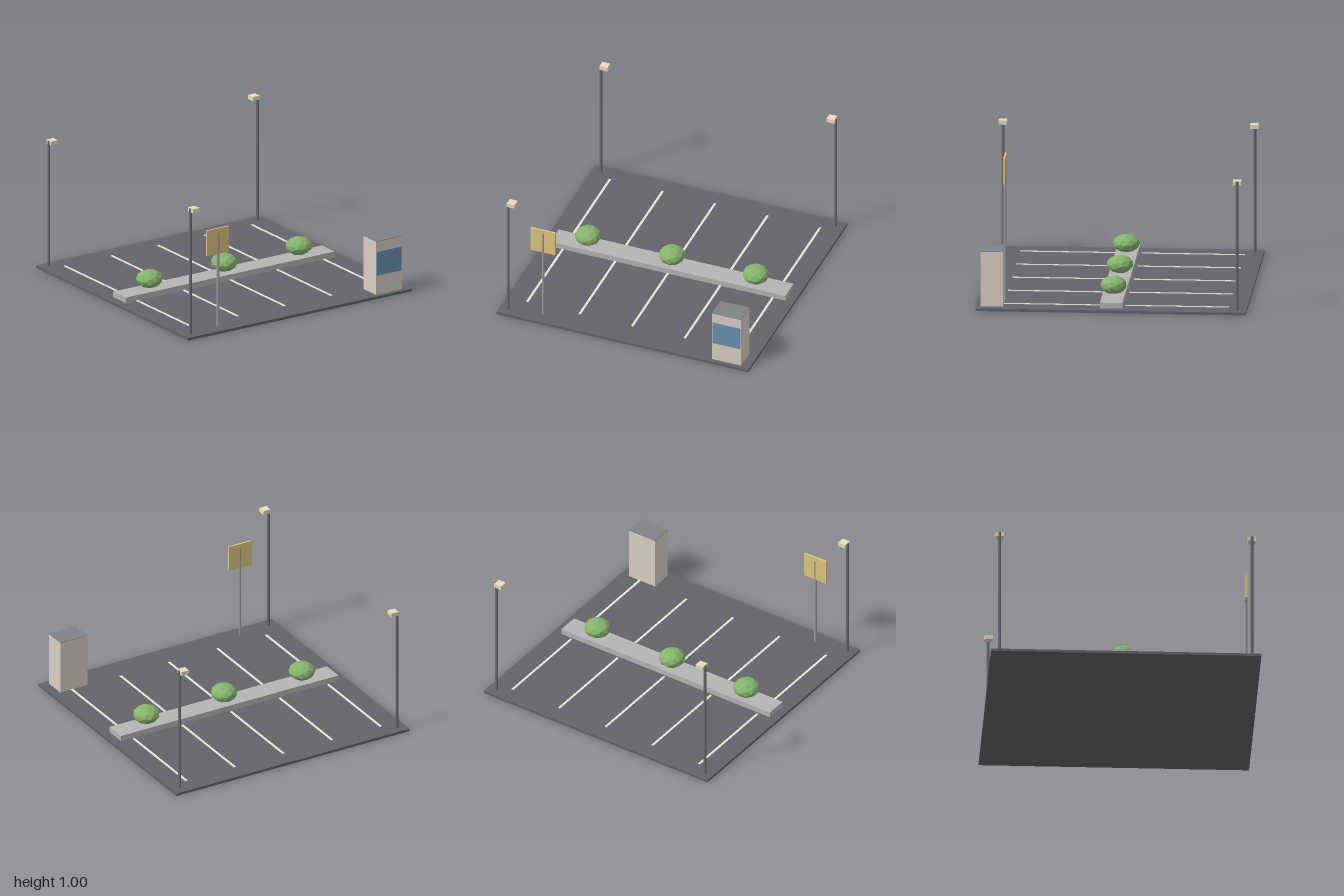
import * as THREE from 'three';

const mat = (color, flat = false) => {
  const m = new THREE.MeshStandardMaterial({ color });
  m.flatShading = flat;
  return m;
};

export function createModel() {
  const model = new THREE.Group();
  model.name = 'parkingLot';

  const asphalt = mat(0x64636a), concrete = mat(0xb4b4b4), paint = mat(0xe6e4da);
  const darkMetal = mat(0x6a6c72), metal = mat(0x9c9ea2), lampShade = mat(0xe8dcc0);
  const leaf = mat(0x86b46c, true), wall = mat(0xd8d0c4), roofGrey = mat(0x808288);
  const glass = mat(0x6c90b0), panel = mat(0xdcc67c);

  // Box given by its min and max corners
  const box = (name, [x0, y0, z0], [x1, y1, z1], material, parent = model) => {
    const mesh = new THREE.Mesh(new THREE.BoxGeometry(x1 - x0, y1 - y0, z1 - z0), material);
    mesh.position.set((x0 + x1) / 2, (y0 + y1) / 2, (z0 + z1) / 2);
    mesh.name = name;
    parent.add(mesh);
  };
  // Upright pole standing on the ground slab
  const pole = (name, x, z, top, material, parent) => {
    const mesh = new THREE.Mesh(new THREE.CylinderGeometry(0.011, 0.011, top - 0.02, 8), material);
    mesh.position.set(x, (top + 0.02) / 2, z);
    mesh.name = name;
    parent.add(mesh);
  };

  // Ground slab and central island
  box('ground', [-1, 0, -1], [1, 0.02, 1], asphalt);
  box('island', [-0.933, 0.02, -0.083], [0.933, 0.063, 0.083], concrete);

  // Two rows of bay markings
  for (let i = -2; i <= 2; i++) {
    const x = i * 0.417;
    box('backBayLine', [x - 0.009, 0.02, -0.867], [x + 0.009, 0.024, -0.1], paint);
    box('frontBayLine', [x - 0.009, 0.02, 0.033], [x + 0.009, 0.024, 0.8], paint);
  }

  // Shrubs on the island, each turned a little differently
  [-0.667, 0, 0.667].forEach((x, i) => {
    const shrub = new THREE.Mesh(new THREE.IcosahedronGeometry(0.1, 1), leaf);
    shrub.scale.y = 0.68;
    shrub.position.set(x, 0.137, 0);
    shrub.rotation.y = i * 0.7;
    shrub.name = 'shrub';
    model.add(shrub);
  });

  // Lamp posts in three corners, heads pointing inward
  for (const [sx, sz] of [[-1, 1], [-1, -1], [1, -1]]) {
    const lamp = new THREE.Group();
    lamp.name = 'lampPost';
    pole('lampPole', sx * 0.932, sz * 0.932, 1, darkMetal, lamp);
    const xs = [sx * 0.87, sx * 0.933].sort((a, b) => a - b);
    box('lampHead', [xs[0], 0.97, sz * 0.932 - 0.031], [xs[1], 1.001, sz * 0.932 + 0.031], lampShade, lamp);
    model.add(lamp);
  }

  // Sign board on its post
  const sign = new THREE.Group();
  sign.name = 'sign';
  pole('signPole', -0.667, 0.9, 0.753, metal, sign);
  box('signPanel', [-0.767, 0.587, 0.893], [-0.57, 0.786, 0.907], panel, sign);
  model.add(sign);

  // Attendant booth with front window
  const booth = new THREE.Group();
  booth.name = 'booth';
  box('boothWalls', [0.7, 0.02, 0.8], [0.932, 0.434, 0.967], wall, booth);
  box('boothRoof', [0.7, 0.434, 0.8], [0.932, 0.437, 0.967], roofGrey, booth);
  box('boothWindow', [0.706, 0.17, 0.96], [0.926, 0.355, 0.971], glass, booth);
  model.add(booth);

  return model;
}
